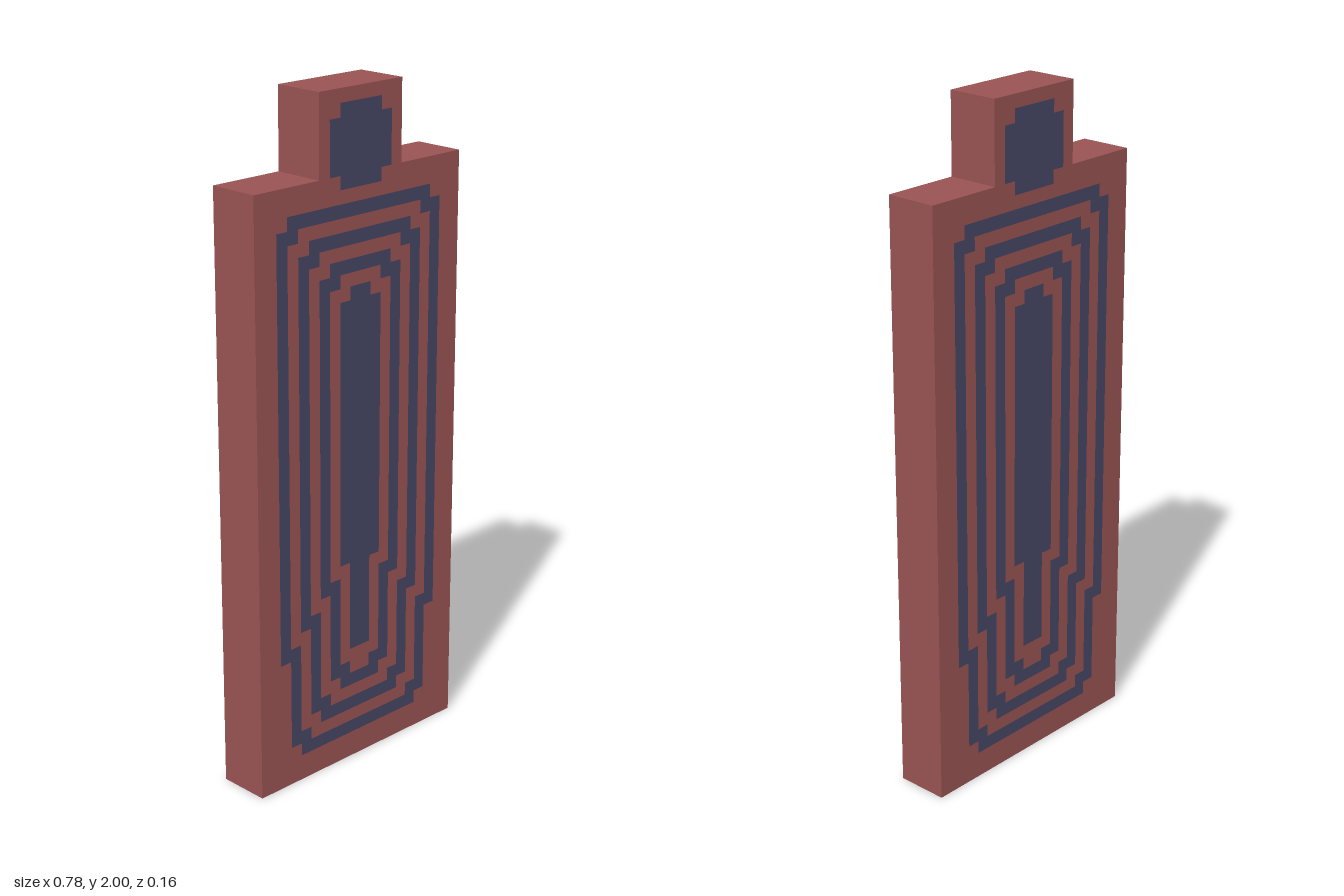
import * as THREE from 'three';

const CELL = 2 / 51;   // everything sits on a square grid, 51 cells tall
const DEPTH = 2 * CELL; // half thickness

// Symmetric stepped outline: [bottom y, half width] per step, then the top y (in cells)
function outline(steps, top) {
  const right = [];
  steps.forEach(([y, w], i) => {
    const end = i + 1 < steps.length ? steps[i + 1][0] : top;
    right.push(new THREE.Vector2(w, y), new THREE.Vector2(w, end));
  });
  const left = right.map((p) => new THREE.Vector2(-p.x, p.y)).reverse();
  return [...right, ...left].map((p) => p.multiplyScalar(CELL));
}

export function createModel() {
  const group = new THREE.Group();
  const red = new THREE.MeshStandardMaterial({ color: 0x995353 });
  const blue = new THREE.MeshStandardMaterial({ color: 0x454565 });

  // Flat zone shown on both the front and the back
  function addZone(name, material, points, holes = []) {
    const shape = new THREE.Shape(points);
    shape.holes = holes.map((h) => new THREE.Path(h));
    const geometry = new THREE.ShapeGeometry(shape);
    for (const side of [1, -1]) {
      const mesh = new THREE.Mesh(geometry, material);
      mesh.name = name + (side > 0 ? 'Front' : 'Back');
      mesh.position.z = side * DEPTH;
      if (side < 0) mesh.rotation.y = Math.PI;
      group.add(mesh);
    }
  }

  const body = outline([[0, 10], [45, 4]], 51);
  const headPatch = outline([[44, 2], [45, 3], [49, 2]], 50);
  const core = outline([[9, 1], [16, 2], [36, 1]], 37);

  // Three nested rings, each two cells smaller than the last
  const rings = [0, 2, 4].map((s) => ({
    outer: outline([[2 + s, 6 - s], [3 + s, 7 - s], [10 + s, 8 - s], [42 - s, 7 - s]], 43 - s),
    inner: outline([[3 + s, 5 - s], [4 + s, 6 - s], [11 + s, 7 - s], [41 - s, 6 - s]], 42 - s),
  }));

  // Painted faces, from the outside in
  addZone('bodyFace', red, body, [rings[0].outer, headPatch]);
  addZone('headPatch', blue, headPatch);
  rings.forEach((ring, i) => {
    const next = i < 2 ? rings[i + 1].outer : core;
    addZone(`darkRing${i + 1}`, blue, ring.outer, [ring.inner]);
    addZone(`lightRing${i + 1}`, red, ring.inner, [next]);
  });
  addZone('corePatch', blue, core);

  // Walls around the body, one panel per outline edge
  const walls = new THREE.Group();
  walls.name = 'sideWalls';
  body.forEach((a, i) => {
    const b = body[(i + 1) % body.length];
    const edge = b.clone().sub(a);
    if (edge.length() < 1e-6) return;
    const wall = new THREE.Mesh(new THREE.PlaneGeometry(edge.length(), 2 * DEPTH), red);
    const along = new THREE.Vector3(edge.x, edge.y, 0).normalize();
    const out = new THREE.Vector3(along.y, -along.x, 0);
    const across = new THREE.Vector3().crossVectors(out, along);
    wall.quaternion.setFromRotationMatrix(new THREE.Matrix4().makeBasis(along, across, out));
    wall.position.set((a.x + b.x) / 2, (a.y + b.y) / 2, 0);
    wall.name = 'sideWall';
    walls.add(wall);
  });
  group.add(walls);
  return group;
}
